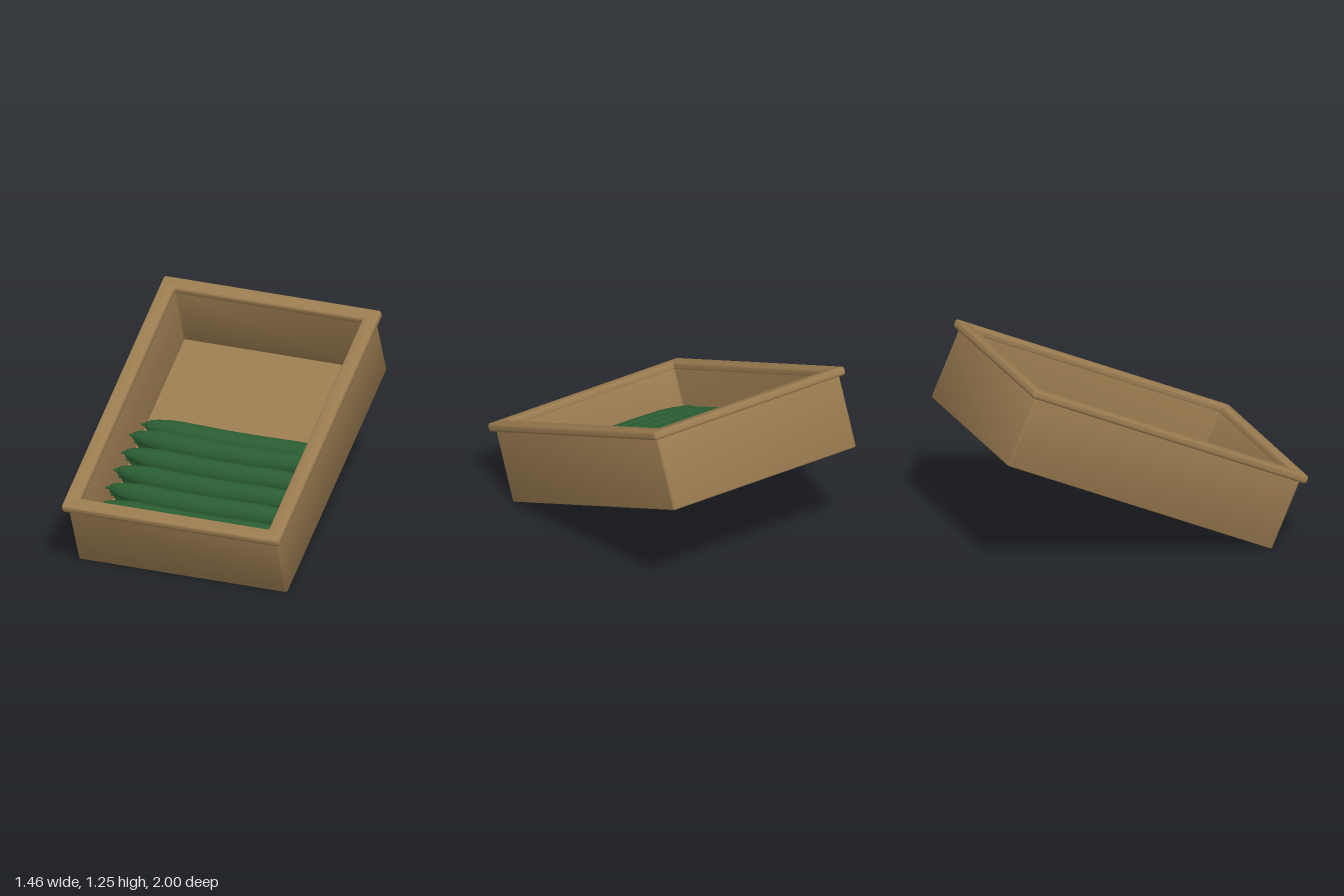
import * as THREE from 'three';
import { toCreasedNormals } from 'three/addons/utils/BufferGeometryUtils.js';

const wood = new THREE.MeshStandardMaterial({ color: 0x9a7b50 });
const green = new THREE.MeshStandardMaterial({ color: 0x2a5c32 });

// Rectangle of half sizes hx, hz with small round corners
function roundedRect(target, hx, hz, r) {
  target.absarc(hx - r, hz - r, r, 0, Math.PI / 2);
  target.absarc(-hx + r, hz - r, r, Math.PI / 2, Math.PI);
  target.absarc(-hx + r, -hz + r, r, Math.PI, Math.PI * 1.5);
  target.absarc(hx - r, -hz + r, r, Math.PI * 1.5, Math.PI * 2);
  target.closePath();
  return target;
}

// Rectangular ring with softened edges, standing from y0 to y1
function frame(name, outer, inner, y0, y1, bevel) {
  const shape = roundedRect(new THREE.Shape(), outer[0], outer[1], 0.02);
  shape.holes.push(roundedRect(new THREE.Path(), inner[0], inner[1], 0.012));
  const geo = new THREE.ExtrudeGeometry(shape, {
    depth: y1 - y0 - 2 * bevel, bevelEnabled: true, bevelThickness: bevel,
    bevelSize: bevel, bevelOffset: -bevel, bevelSegments: 4, curveSegments: 4,
  });
  geo.rotateX(-Math.PI / 2).translate(0, y0 + bevel, 0);
  const mesh = new THREE.Mesh(toCreasedNormals(geo, 0.7), wood);
  mesh.name = name;
  return mesh;
}

// Cucumber body: a lathe laid along x, then bowed toward the front
function cucumberGeometry() {
  const profile = [
    [0, -0.605], [0.022, -0.6], [0.036, -0.575], [0.052, -0.52], [0.066, -0.44],
    [0.073, -0.36], [0.075, -0.2], [0.075, 0], [0.075, 0.2], [0.073, 0.4],
    [0.068, 0.5], [0.054, 0.555], [0.034, 0.592], [0.018, 0.607], [0, 0.61],
  ].map(([r, x]) => new THREE.Vector2(r, x));
  const geo = new THREE.LatheGeometry(profile, 24).rotateZ(-Math.PI / 2);
  const p = geo.attributes.position;
  for (let i = 0; i < p.count; i++) p.setZ(i, p.getZ(i) + bow(p.getX(i)));
  return geo;
}

const bow = (x) => -0.075 * (x - 0.08) ** 2;

export function createModel() {
  const model = new THREE.Group();
  const crate = new THREE.Group();
  crate.name = 'tiltedCrate';
  crate.rotation.x = Math.atan2(0.77, 1.77);
  crate.position.set(0, 0.385, -0.115);
  model.add(crate);

  // Box walls, rim and floor
  crate.add(frame('walls', [0.7, 0.965], [0.632, 0.902], 0, 0.49, 0.01));
  crate.add(frame('rim', [0.73, 0.998], [0.63, 0.9], 0.465, 0.52, 0.018));
  const floor = new THREE.Mesh(new THREE.BoxGeometry(1.37, 0.04, 1.9), wood);
  floor.name = 'floor';
  floor.position.y = 0.02;
  crate.add(floor);

  // Cucumbers in two layers: seven on the floor, five resting in the gaps
  const bodyGeo = cucumberGeometry();
  const stemGeo = new THREE.CylinderGeometry(0.008, 0.011, 0.04, 10).rotateZ(Math.PI / 2);
  const layers = [
    { count: 7, y: 0.112, z: -0.07 },
    { count: 5, y: 0.222, z: 0.122 },
  ];
  for (const { count, y, z } of layers) {
    for (let i = 0; i < count; i++) {
      const cucumber = new THREE.Group();
      cucumber.name = 'cucumber';
      const body = new THREE.Mesh(bodyGeo, green);
      body.name = 'cucumberBody';
      const stem = new THREE.Mesh(stemGeo, green);
      stem.name = 'cucumberStem';
      stem.position.set(-0.61, 0, bow(-0.61));
      cucumber.add(body, stem);
      cucumber.position.set(0, y, z + i * 0.15);
      crate.add(cucumber);
    }
  }
  return model;
}
